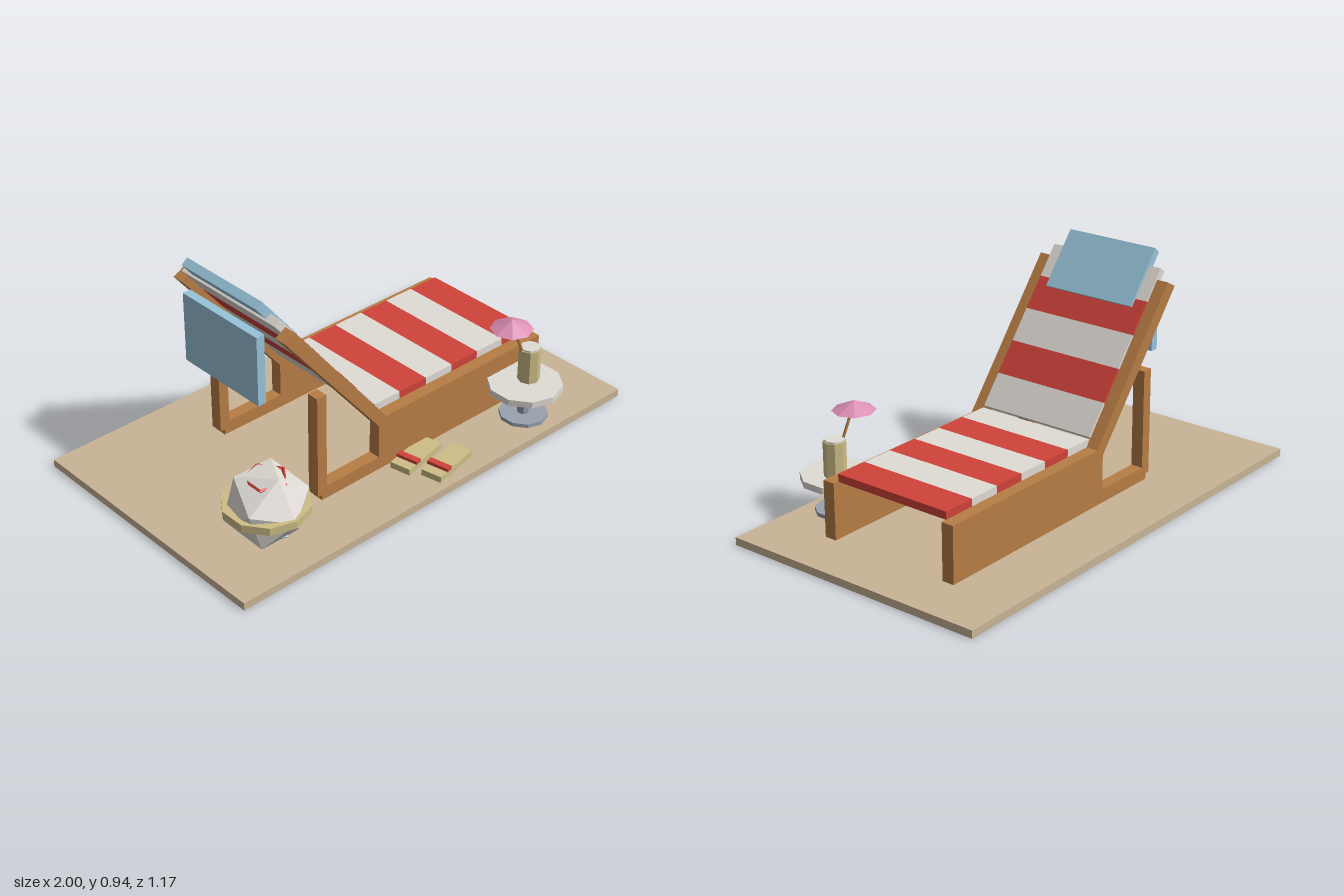
import * as THREE from 'three';

const mat = (name, color, extra = {}) => {
  const m = new THREE.MeshStandardMaterial({ color, ...extra });
  m.name = name;
  return m;
};

export function createModel() {
  const sand = mat('sand', 0xc9b596);
  const wood = mat('wood', 0xb87d45);
  const red = mat('red', 0xd0433a);
  const white = mat('white', 0xe0dbd5);
  const blue = mat('blue', 0x98c4da);
  const khaki = mat('khaki', 0xcdbd86);
  const steel = mat('steel', 0x98a2ae);
  const pink = mat('pink', 0xdb8fb4);

  const model = new THREE.Group();
  model.name = 'beachLounger';

  const add = (name, geo, material, x = 0, y = 0, z = 0, parent = model) => {
    const g = geo.index ? geo.toNonIndexed() : geo;
    g.computeVertexNormals(); // faceted look
    const mesh = new THREE.Mesh(g, material);
    mesh.name = name;
    mesh.position.set(x, y, z);
    parent.add(mesh);
    return mesh;
  };
  const group = (name, x = 0, y = 0, z = 0) => {
    const g = new THREE.Group();
    g.name = name;
    g.position.set(x, y, z);
    model.add(g);
    return g;
  };
  const box = (w, h, d) => new THREE.BoxGeometry(w, h, d);
  const cyl = (r, h, n, r0 = r) => new THREE.CylinderGeometry(r0, r, h, n);

  // Ground slab
  add('groundSlab', box(2, 0.032, 1.158), sand, 0, 0.016, -0.006);

  // Side frames: solid seat side, raked back rail and rear post in one outline
  const outline = [
    [-0.4, 0.032], [0.785, 0.032], [0.785, 0.265], [-0.07, 0.265], [-0.521, 0.83],
    [-0.57, 0.803], [-0.107, 0.233], [-0.107, 0.088], [-0.375, 0.088], [-0.375, 0.5],
    [-0.42, 0.5], [-0.42, 0.056], [-0.4, 0.056],
  ].map(([x, y]) => new THREE.Vector2(x, y));
  for (const [name, z] of [['frontSideFrame', 0.26], ['rearSideFrame', -0.319]]) {
    add(name, new THREE.ExtrudeGeometry(new THREE.Shape(outline),
      { depth: 0.052, bevelEnabled: false }), wood, 0, 0, z);
  }

  // Striped seat cushion
  const midZ = -0.004, width = 0.527;
  const seatX = [-0.08, 0.05, 0.192, 0.334, 0.476, 0.618, 0.76];
  for (let i = 0; i < 6; i++) {
    const a = seatX[i], b = seatX[i + 1];
    add('seatStripe', box(b - a, 0.032, width), i % 2 ? red : white, (a + b) / 2, 0.28, midZ);
  }

  // Reclined back: local +x runs up the slope, local +y points out of the cushion
  const back = group('backrest', -0.07, 0.265, midZ);
  back.rotation.z = Math.atan2(0.779, -0.627);
  const slab = (name, t0, t1, n0, n1, w, material) =>
    add(name, box(t1 - t0, n1 - n0, w), material, (t0 + t1) / 2, -(n0 + n1) / 2, 0, back);
  const step = 0.146;
  for (let i = 0; i < 5; i++) {
    slab('backStripe', 0.04 + i * step, 0.04 + (i + 1) * step, -0.022, 0.011, width,
      i % 2 ? red : white);
  }

  // Towel over the top, with its hanging end
  slab('towelFront', 0.586, 0.843, -0.013, 0.022, 0.42, blue);
  add('towelHanging', box(0.036, 0.292, 0.42), blue, -0.592, 0.65, midZ);

  // Beach ball with a pole vertex upwards, bands and a flat ring
  const ball = group('beachBall', -0.712, 0.204, 0.36);
  const ico = new THREE.IcosahedronGeometry(0.167, 0);
  const pole = new THREE.Vector3(0, (1 + Math.sqrt(5)) / 2, 1).normalize();
  ico.applyQuaternion(new THREE.Quaternion().setFromUnitVectors(pole, new THREE.Vector3(0, 1, 0)));
  add('ballBody', ico, white, 0, 0, 0, ball);
  add('ballRing', cyl(0.17, 0.032, 10), khaki, 0, 0, 0, ball);
  for (const [name, s, m] of [['upperBand', 1, red], ['lowerBand', -1, blue]]) {
    const band = new THREE.TorusGeometry(0.083, 0.008, 4, 5).rotateX(Math.PI / 2);
    add(name, band, m, 0, s * 0.116, 0, ball);
  }

  // Side table
  const table = group('sideTable', 0.58, 0, 0.431);
  add('tableFoot', cyl(0.1, 0.016, 10), steel, 0, 0.04, 0, table);
  add('tablePole', cyl(0.025, 0.125, 8), steel, 0, 0.108, 0, table);
  add('tableTop', cyl(0.153, 0.027, 10), white, 0, 0.177, 0, table);

  // Drink with paper parasol
  add('cup', cyl(0.045, 0.145, 8), khaki, 0.606, 0.263, 0.425);
  add('drinkSurface', cyl(0.04, 0.008, 8), white, 0.606, 0.338, 0.425);
  const from = new THREE.Vector3(0.58, 0.3, 0.42), to = new THREE.Vector3(0.526, 0.47, 0.393);
  const stick = add('parasolStick', cyl(0.006, from.distanceTo(to), 6), wood);
  stick.position.copy(from).add(to).multiplyScalar(0.5);
  stick.quaternion.setFromUnitVectors(new THREE.Vector3(0, 1, 0), to.clone().sub(from).normalize());
  add('parasol', new THREE.ConeGeometry(0.087, 0.04, 8), pink, 0.526, 0.464, 0.393);

  // Pair of sandals
  for (const [x, z] of [[0.05, 0.358], [0.105, 0.472]]) {
    const sandal = group('sandal', x, 0, z);
    sandal.rotation.y = 0.2;
    add('sole', box(0.22, 0.027, 0.09), khaki, 0, 0.046, 0, sandal);
    add('strap', box(0.028, 0.014, 0.095), red, -0.053, 0.066, 0, sandal);
  }

  return model;
}
